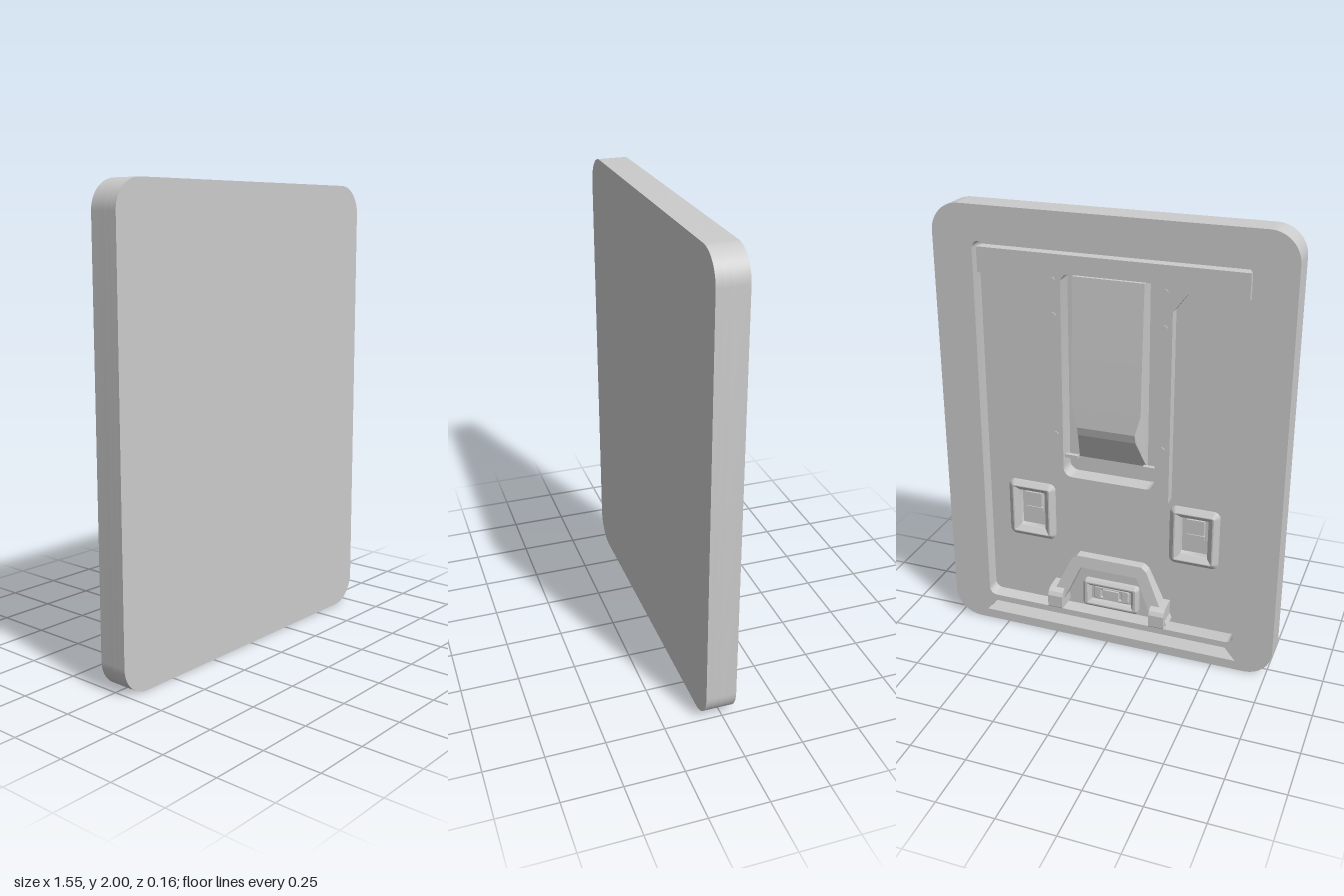
import * as THREE from 'three';
import { toCreasedNormals } from 'three/addons/utils/BufferGeometryUtils.js';

const material = new THREE.MeshStandardMaterial({ color: 0xcccccc });
const BACK = -0.05, FLOOR = 0.02, DEEP = 0.05, FRONT = 0.08, PLATE = -0.03;

// Rounded rectangle outline between two corners
function rounded(x0, y0, x1, y1, r, Type = THREE.Shape) {
  const s = new Type();
  s.absarc(x1 - r, y1 - r, r, 0, Math.PI / 2);
  s.absarc(x0 + r, y1 - r, r, Math.PI / 2, Math.PI);
  s.absarc(x0 + r, y0 + r, r, Math.PI, Math.PI * 1.5);
  s.absarc(x1 - r, y0 + r, r, Math.PI * 1.5, Math.PI * 2);
  s.closePath();
  return s;
}
const centred = (x, y, w, h, r, Type) =>
  rounded(x - w / 2, y - h / 2, x + w / 2, y + h / 2, r, Type);
const polygon = (pts, Type = THREE.Shape) => new Type(pts.map(p => new THREE.Vector2(...p)));

// Slab of a shape from z0 (rear) to z1
function slab(shape, z0, z1, holes = []) {
  shape.holes.push(...holes);
  const g = new THREE.ExtrudeGeometry(shape, { depth: z1 - z0, bevelEnabled: false, curveSegments: 7 });
  return toCreasedNormals(g.translate(0, 0, z0), 0.6);
}

// Side profile given as [z, y], extruded along x
function sideways(pts, width, x) {
  const g = new THREE.ExtrudeGeometry(polygon(pts), { depth: width, bevelEnabled: false });
  return g.rotateY(-Math.PI / 2).translate(x + width / 2, 0, 0);
}

// Raised frame with bevelled inner and outer edges
function bevelFrame(x, y, w, h, holeW, holeH, z0, z1, bevel) {
  const s = centred(x, y, w - 2 * bevel, h - 2 * bevel, 0.008);
  s.holes.push(centred(x, y, holeW + 2 * bevel, holeH + 2 * bevel, 0.006, THREE.Path));
  const g = new THREE.ExtrudeGeometry(s, {
    depth: z1 - z0, bevelEnabled: true, bevelSize: bevel, bevelThickness: bevel * 0.8,
    bevelSegments: 1, curveSegments: 2
  });
  return g.translate(0, 0, z0);
}

export function createModel() {
  const model = new THREE.Group();
  const add = (name, geometry, mat = material) => {
    const mesh = new THREE.Mesh(geometry, mat);
    mesh.name = name;
    model.add(mesh);
    return mesh;
  };
  const box = (name, w, h, d, x, y, z) =>
    add(name, new THREE.BoxGeometry(w, h, d).translate(x, y, z));

  const outline = () => rounded(-0.775, 0, 0.775, 2, 0.125);
  const slot = () => rounded(-0.21, 0.82, 0.21, 1.74, 0.04, THREE.Path);
  const sockets = [0.385, -0.385];

  // Shell: rear rim, floor layer and front panel
  const groove = [[-0.61, 0.045], [0.61, 0.045], [0.56, 0.105], [-0.56, 0.105]];
  add('rearRim', slab(outline(), BACK, FLOOR, [
    rounded(-0.595, 0.135, 0.595, 1.85, 0.035, THREE.Path),
    polygon(groove, THREE.Path)
  ]));
  add('recessFloor', slab(outline(), FLOOR, DEEP, [
    slot(), ...sockets.map(x => centred(x, 0.6, 0.13, 0.19, 0.005, THREE.Path))
  ]));
  add('frontPanel', slab(outline(), DEEP, FRONT));

  // V-shaped finger groove along the bottom of the rim
  const [a, b, c, d] = groove.map(([x, y]) => [x, y, BACK]);
  const v0 = [-0.57, 0.088, -0.012], v1 = [0.57, 0.088, -0.012];
  const faces = [a, v1, b, a, v0, v1, d, c, v1, d, v1, v0, a, d, v0, b, v1, c];
  const vee = new THREE.BufferGeometry();
  vee.setAttribute('position', new THREE.Float32BufferAttribute(faces.flat(), 3));
  vee.computeVertexNormals();
  const thin = material.clone();
  thin.side = THREE.DoubleSide;
  add('fingerGroove', vee, thin);

  // T-shaped mounting plate with the stand slot
  const half = [[0.275, 0.77], [0.275, 1.63], [0.335, 1.71], [0.585, 1.71], [0.585, 1.82]];
  const tee = [...half, ...half.map(([x, y]) => [-x, y]).reverse()];
  add('mountingPlate', slab(polygon(tee), PLATE, FLOOR, [slot()]));

  // Folded stand: wedge that swells outward, then cuts back at its foot
  const stand = sideways([
    [DEEP, 1.735], [PLATE, 1.735], [-0.05, 1.39], [-0.059, 1.17], [-0.062, 1.08],
    [-0.05, 1.04], [0.03, 0.9], [DEEP, 0.9]
  ], 0.31, 0);
  const p = stand.attributes.position;
  for (let i = 0; i < p.count; i++) {
    if (p.getY(i) > 1.03 && p.getY(i) < 1.1) p.setX(i, p.getX(i) * 0.84);
  }
  stand.computeVertexNormals();
  add('foldingStand', stand);

  for (const side of [1, -1]) {
    // Pivot pins and screws beside the stand
    box('standPin', 0.06, 0.015, 0.02, side * 0.18, 0.91, 0);
    for (const y of [1.71, 1.56, 1.02]) {
      add('plateScrew', new THREE.CylinderGeometry(0.012, 0.012, 0.008, 10)
        .rotateX(Math.PI / 2).translate(side * 0.243, y, PLATE - 0.001));
    }
  }

  // Latch sockets with a stepped latch inside
  for (const x of sockets) {
    add('socketFrame', bevelFrame(x, 0.6, 0.225, 0.28, 0.125, 0.185, 0.01, FLOOR, 0.022));
    box('socketLatch', 0.08, 0.07, 0.03, x, 0.645, 0.037);
    box('socketLatchBar', 0.08, 0.02, 0.015, x, 0.59, 0.042);
  }

  // Arched bracket, rising toward its feet
  const arch = slab(polygon([
    [0.29, 0.16], [0.18, 0.40], [0.155, 0.42], [-0.155, 0.42], [-0.18, 0.40], [-0.29, 0.16],
    [-0.225, 0.16], [-0.135, 0.365], [0.135, 0.365], [0.225, 0.16]
  ]), -0.03, FLOOR);
  const q = arch.attributes.position;
  for (let i = 0; i < q.count; i++) {
    if (q.getZ(i) < 0) q.setZ(i, THREE.MathUtils.mapLinear(q.getY(i), 0.16, 0.42, -0.058, -0.025));
  }
  arch.computeVertexNormals();
  add('bracketArch', arch);
  for (const side of [1, -1]) {
    add('bracketFoot', sideways([
      [FLOOR, 0.15], [-0.072, 0.15], [-0.08, 0.158], [-0.08, 0.215], [-0.07, 0.232],
      [-0.05, 0.245], [FLOOR, 0.25]
    ], 0.07, side * 0.245));
  }

  // Connector port under the arch
  add('portFrame', bevelFrame(0, 0.22, 0.27, 0.14, 0.2, 0.08, 0, FLOOR, 0.012));
  add('portInnerFrame', bevelFrame(0, 0.22, 0.17, 0.066, 0.1, 0.04, 0.012, FLOOR, 0.004));
  box('portContact', 0.075, 0.05, 0.025, 0, 0.22, 0.012);

  return model;
}
